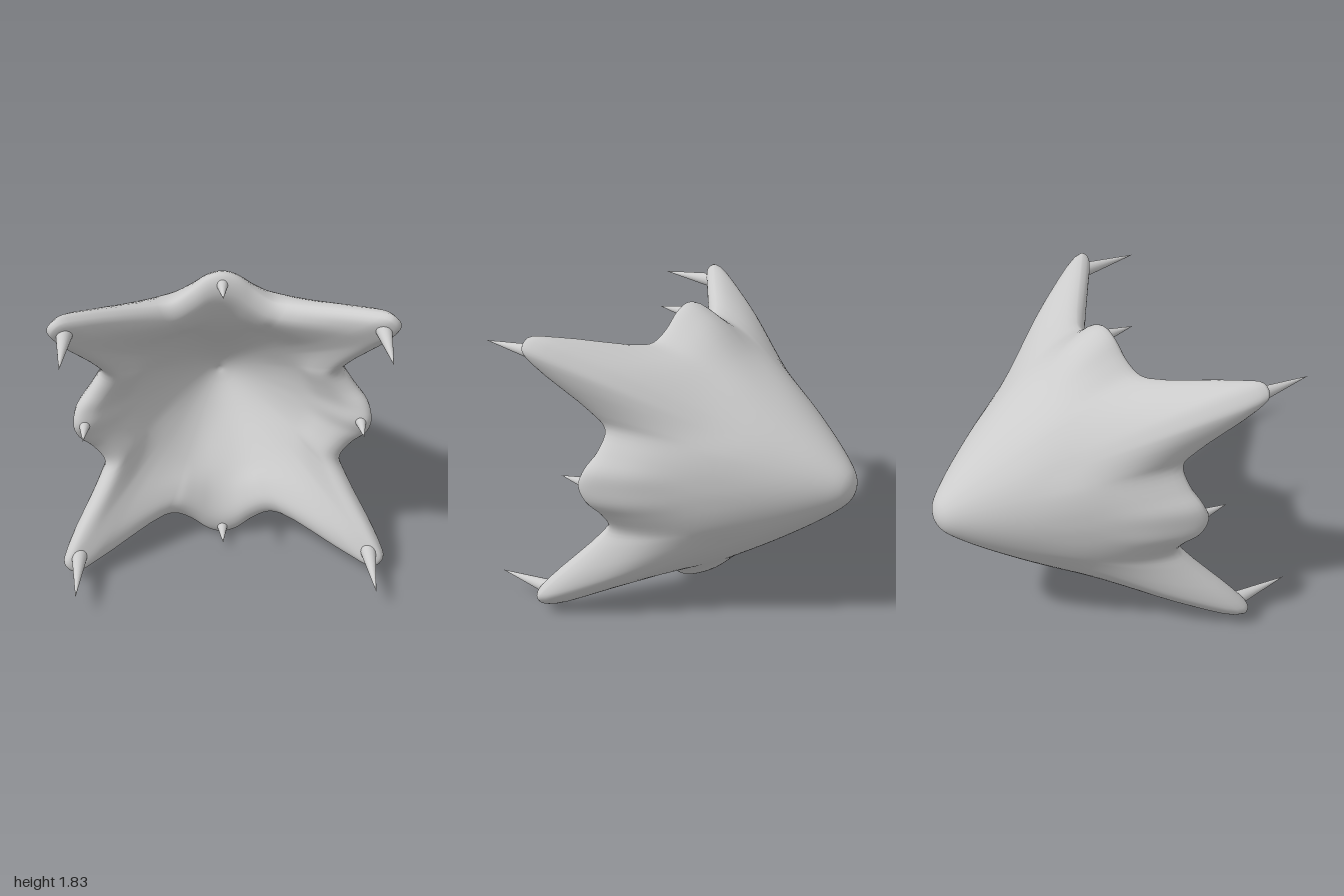
import * as THREE from 'three';
import { mergeVertices } from 'three/addons/utils/BufferGeometryUtils.js';

const CY = 0.92; // height of the central axis

// One quarter of the rim, from the side lobe over the corner arm to the top lobe
const QUARTER = [
  [0.893, 0, 0.32], [0.872, 0.1, 0.29], [0.79, 0.2, 0.25], [0.72, 0.32, 0.245],
  [0.766, 0.43, 0.31], [0.948, 0.72, 0.56], [0.974, 0.807, 0.62], [0.92, 0.866, 0.62],
  [0.79, 0.85, 0.53], [0.375, 0.745, 0.23], [0.29, 0.75, 0.2], [0.19, 0.81, 0.18],
  [0.09, 0.89, 0.175], [0, 0.917, 0.175],
];

// Mirror the quarter into the whole closed rim, counter-clockwise from the front
function rimCurve() {
  const left = QUARTER.slice(0, -1).reverse().map(([x, y, z]) => [-x, y, z]);
  const upper = [...QUARTER, ...left];
  const lower = upper.slice(1, -1).reverse().map(([x, y, z]) => [x, -y, z]);
  const points = [...upper, ...lower].map((p) => new THREE.Vector3(...p));
  return new THREE.CatmullRomCurve3(points, true, 'centripetal');
}

// Radial section (radius, z): outer wall, rounded rim, then the thick inner wall
function sectionCurve(r, z) {
  const v = (a, b) => new THREE.Vector3(a, b, 0);
  const shoulder = v(0.635, -0.24);
  const tip = v(r, z);
  const front = v(r - 0.035, z + 0.035);
  const inner = v(0.5, 0.06);
  return new THREE.CatmullRomCurve3([
    v(0, -1), v(0.045, -0.993), v(0.1, -0.965), v(0.2, -0.86), v(0.41, -0.58), shoulder,
    shoulder.clone().lerp(tip, 0.6).add(v(0.03, -0.018)), tip, front,
    front.clone().lerp(inner, 0.2).add(v(-0.015, 0.04)),
    front.clone().lerp(inner, 0.55).add(v(-0.015, 0.04)), inner,
    v(0.25, -0.18), v(0.1, -0.29), v(0, -0.33),
  ], false, 'centripetal');
}

function shellGeometry(around = 208, along = 70) {
  const rim = rimCurve();
  const positions = [];
  const index = [];
  for (let i = 0; i < around; i++) {
    const p = rim.getPoint(i / around);
    const r = Math.hypot(p.x, p.y);
    const section = sectionCurve(r, p.z);
    for (let j = 0; j <= along; j++) {
      const s = section.getPoint(j / along);
      const k = j === 0 || j === along ? 0 : s.x / r;
      positions.push(p.x * k, p.y * k, s.y);
    }
  }
  const row = along + 1;
  for (let i = 0; i < around; i++) {
    const a = i * row;
    const b = ((i + 1) % around) * row;
    for (let j = 0; j < along; j++) {
      if (j > 0) index.push(a + j, b + j, a + j + 1);
      if (j < along - 1) index.push(b + j, b + j + 1, a + j + 1);
    }
  }
  const geometry = new THREE.BufferGeometry();
  geometry.setAttribute('position', new THREE.Float32BufferAttribute(positions, 3));
  geometry.setIndex(index);
  const merged = mergeVertices(geometry);
  merged.computeVertexNormals();
  return merged;
}

export function createModel() {
  const group = new THREE.Group();
  const material = new THREE.MeshStandardMaterial({ color: 0xcccccc });

  // Hollow star-shaped body
  const shell = new THREE.Mesh(shellGeometry(), material);
  shell.name = 'shell';
  shell.position.y = CY;
  group.add(shell);

  // Forward-pointing spikes on the arms and lobes
  const addSpike = (name, x, y, base, tip, radius) => {
    const geometry = new THREE.ConeGeometry(radius, tip - base, 24);
    geometry.rotateX(Math.PI / 2);
    const spike = new THREE.Mesh(geometry, material);
    spike.name = name;
    spike.position.set(x, CY + y, (base + tip) / 2);
    group.add(spike);
  };
  for (const s of [1, -1]) {
    for (const t of [1, -1]) addSpike('cornerSpike', s * 0.88, t * 0.765, 0.57, 1, 0.052);
    addSpike('sideSpike', s * 0.825, 0, 0.29, 0.515, 0.042);
    addSpike('lobeSpike', 0, s * 0.855, 0.17, 0.385, 0.04);
  }
  return group;
}
